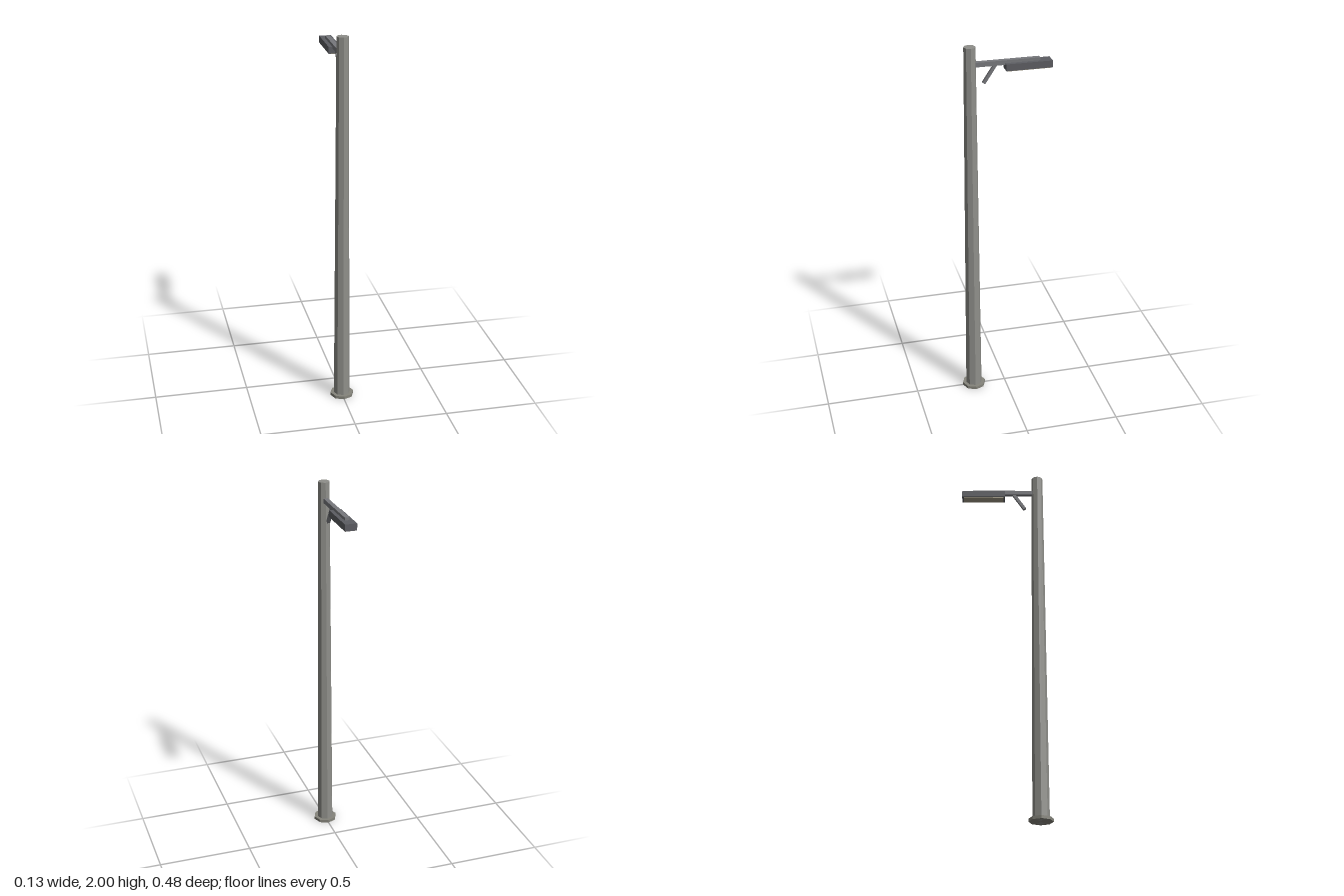
import * as THREE from 'three';

const POLE_Z = 0.177;

export function createModel() {
  const model = new THREE.Group();
  model.name = 'streetLamp';

  const material = (color) => {
    const m = new THREE.MeshStandardMaterial({ flatShading: true });
    m.color.set(color);
    return m;
  };
  const poleGrey = material(0x8f8f8a);
  const baseGrey = material(0x85847b);
  const armGrey = material(0x77787c);
  const headGrey = material(0x5c5d62);
  const lensCream = material(0xa39c88);

  const add = (name, geometry, mat, x, y, z) => {
    const mesh = new THREE.Mesh(geometry, mat);
    mesh.name = name;
    mesh.position.set(x, y, z);
    model.add(mesh);
    return mesh;
  };

  // Octagonal base plate and tapered pole
  add('basePlate', new THREE.CylinderGeometry(0.063, 0.063, 0.016, 8), baseGrey, 0, 0.008, POLE_Z);
  add('pole', new THREE.CylinderGeometry(0.031, 0.044, 2, 8), poleGrey, 0, 1, POLE_Z);

  // Horizontal arm reaching back from the pole
  add('arm', new THREE.BoxGeometry(0.024, 0.024, 0.36), armGrey, 0, 1.906, -0.003);

  // Slanted brace under the arm
  const low = new THREE.Vector3(0, 1.804, 0.107);
  const high = new THREE.Vector3(0, 1.9, 0.044);
  const mid = low.clone().add(high).multiplyScalar(0.5);
  const brace = add('brace', new THREE.BoxGeometry(0.016, low.distanceTo(high), 0.016), armGrey, 0, mid.y, mid.z);
  brace.rotation.x = Math.atan2(high.z - low.z, high.y - low.y);

  // Lamp head with a shallow light panel below
  add('lampHead', new THREE.BoxGeometry(0.063, 0.036, 0.24), headGrey, 0, 1.885, -0.123);
  add('lightPanel', new THREE.BoxGeometry(0.052, 0.006, 0.22), lensCream, 0, 1.866, -0.123);

  return model;
}
